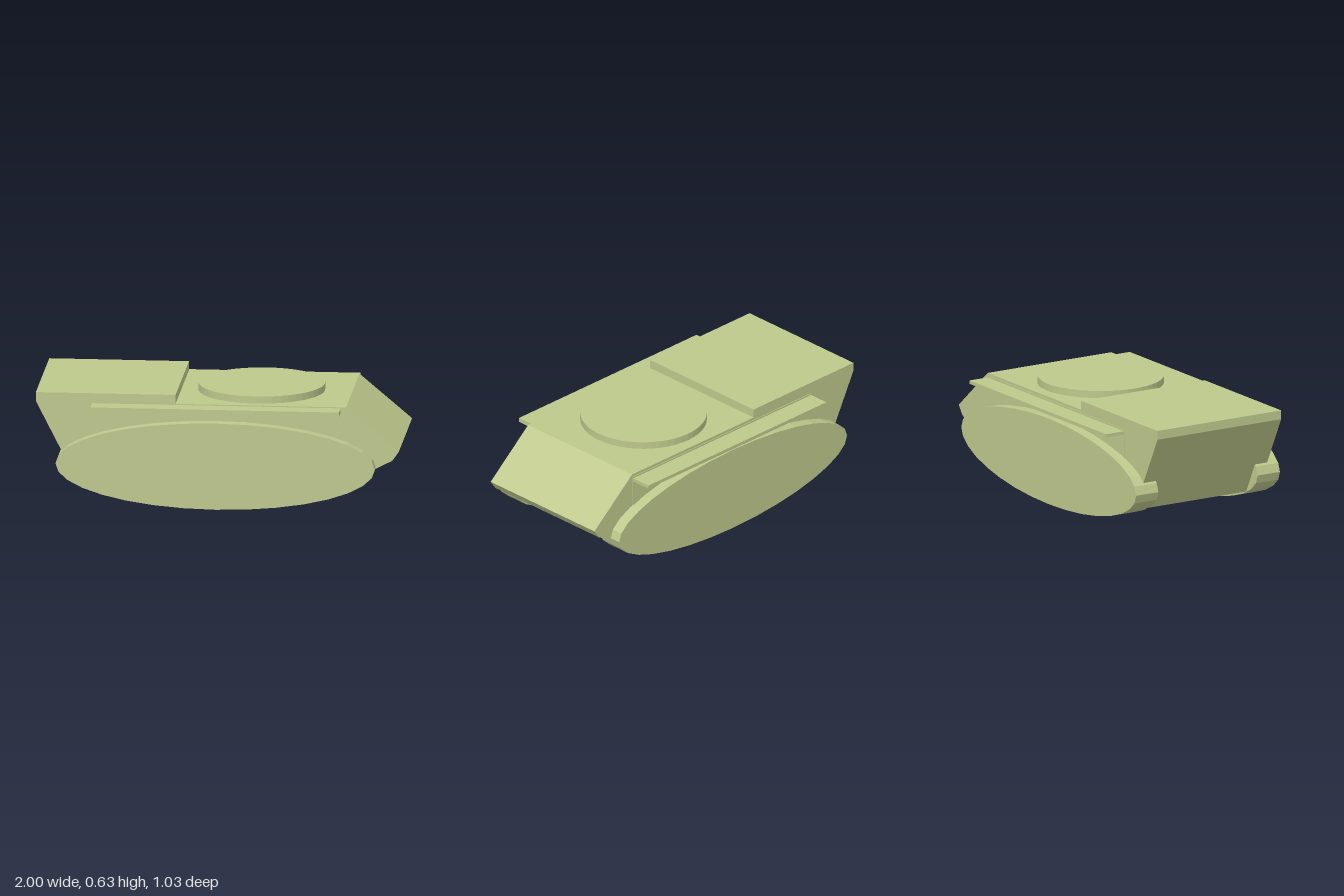
import * as THREE from 'three';

export function createModel() {
  const model = new THREE.Group();
  const material = new THREE.MeshStandardMaterial({ color: 0xbdc88c, flatShading: true });

  function add(name, geometry) {
    const mesh = new THREE.Mesh(geometry, material);
    mesh.name = name;
    model.add(mesh);
    return mesh;
  }

  // Box given by its limits on each axis
  function box(name, x0, x1, y0, y1, z0, z1) {
    add(name, new THREE.BoxGeometry(x1 - x0, y1 - y0, z1 - z0))
      .position.set((x0 + x1) / 2, (y0 + y1) / 2, (z0 + z1) / 2);
  }

  // Hull: side profile with raised rear deck and sloped nose, extruded across the width
  const profile = [
    [-0.77, 0.13], [0.67, 0.13], [0.965, 0.285], [1, 0.335], [0.71, 0.58],
    [-0.23, 0.58], [-0.23, 0.63], [-1, 0.63], [-1, 0.58],
  ].map(([x, y]) => new THREE.Vector2(x, y));
  const hull = new THREE.ExtrudeGeometry(new THREE.Shape(profile), { depth: 0.81, bevelEnabled: false });
  hull.translate(0, 0, -0.395);
  add('hull', hull);

  // Elliptical track units
  for (const [name, z] of [['frontTrack', 0.408], ['backTrack', -0.388]]) {
    const track = new THREE.CylinderGeometry(1, 1, 0.146, 32);
    track.rotateX(Math.PI / 2);
    track.scale(0.88, 0.243, 1);
    add(name, track).position.set(-0.006, 0.246, z);
  }

  // Turret ring on the deck
  add('turretRing', new THREE.CylinderGeometry(0.348, 0.348, 0.05, 48)).position.set(0.21, 0.595, 0.02);

  // Side shelves and the thin plate behind the rear one
  box('frontShelf', -0.69, 0.68, 0.549, 0.574, 0.41, 0.516);
  box('backShelf', -0.67, 0.705, 0.537, 0.556, -0.518, -0.394);
  box('backSidePlate', -0.67, 0.705, 0.39, 0.565, -0.399, -0.39);

  return model;
}
